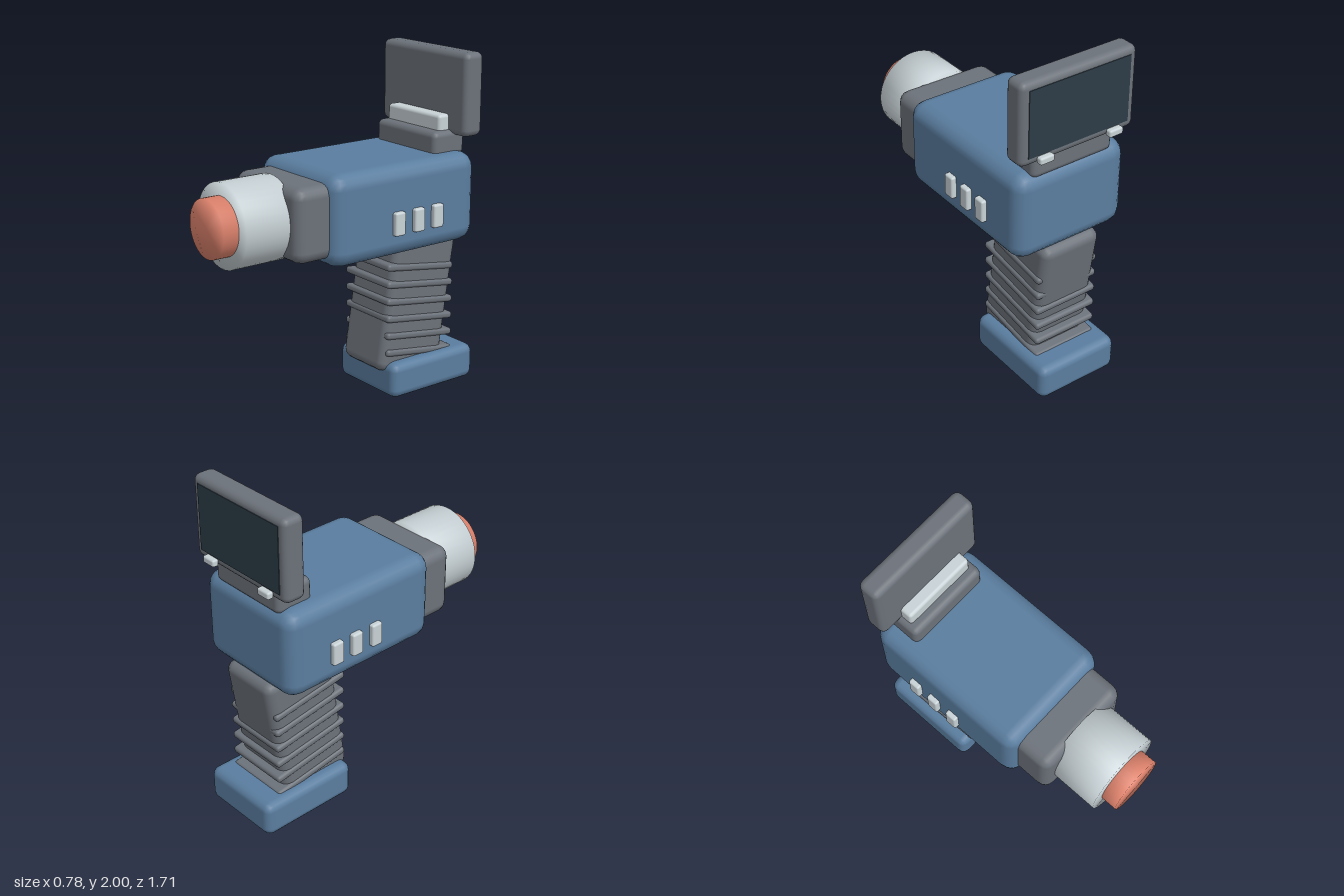
import * as THREE from 'three';
import { RoundedBoxGeometry } from 'three/addons/geometries/RoundedBoxGeometry.js';
import { mergeVertices } from 'three/addons/utils/BufferGeometryUtils.js';

function material(name, color) {
  const m = new THREE.MeshStandardMaterial({ color });
  m.name = name;
  return m;
}

export function createModel() {
  const blue = material('blue shell', 0x5a7d9f);
  const grey = material('dark grey', 0x6c727a);
  const light = material('light grey', 0xc8d2d6);
  const coral = material('coral', 0xe0846e);
  const glass = material('dark glass', 0x2c3c46);

  const model = new THREE.Group();
  model.name = 'handheldScanner';

  function add(name, geometry, mat, x, y, z) {
    const mesh = new THREE.Mesh(geometry, mat);
    mesh.name = name;
    mesh.position.set(x, y, z);
    model.add(mesh);
    return mesh;
  }

  // Rounded box given by half width, y range and z range
  function block(name, mat, halfX, y0, y1, z0, z1, r) {
    const geo = new RoundedBoxGeometry(halfX * 2, y1 - y0, z1 - z0, 2, r);
    return add(name, geo, mat, 0, (y0 + y1) / 2, (z0 + z1) / 2);
  }

  // Cylinder along z, with normals blended softly over the rim
  function softCylinder(name, mat, r, y, z0, z1) {
    let geo = new THREE.CylinderGeometry(r, r, z1 - z0, 40).rotateX(Math.PI / 2);
    geo.deleteAttribute('normal');
    geo.deleteAttribute('uv');
    geo = mergeVertices(geo, 1e-4);
    geo.computeVertexNormals();
    return add(name, geo, mat, 0, y, (z0 + z1) / 2);
  }

  // Main housing and front end
  block('body', blue, 0.36, 0.91, 1.432, -0.745, 0.285, 0.09);
  block('nose', grey, 0.305, 0.962, 1.382, 0.2, 0.485, 0.065);
  softCylinder('barrel', light, 0.24, 1.172, 0.445, 0.76);
  softCylinder('lens', coral, 0.167, 1.172, 0.7, 0.855);

  // Side buttons
  for (const side of [-1, 1]) {
    for (const z of [-0.155, -0.295, -0.432]) {
      add('sideButton', new RoundedBoxGeometry(0.05, 0.135, 0.072, 2, 0.012), light, side * 0.365, 1.11, z);
    }
  }

  // Raked grip with ribs, standing on the base
  const rake = -0.15;
  const grip = add('grip', new RoundedBoxGeometry(0.38, 0.85, 0.462, 2, 0.055), grey, 0, 0.542, -0.475);
  grip.rotation.x = rake;
  for (let i = 0; i < 6; i++) {
    const rib = add('gripRib', new RoundedBoxGeometry(0.405, 0.042, 0.5, 2, 0.018), grey, 0, 0.755 - i * 0.104, -0.472);
    rib.rotation.x = rake;
  }
  block('base', blue, 0.26, 0, 0.212, -0.85, -0.225, 0.05);

  // Display on its mount
  block('displayMount', grey, 0.26, 1.4, 1.552, -0.73, -0.5, 0.035);
  block('hingeBar', light, 0.228, 1.5, 1.64, -0.66, -0.56, 0.02);
  block('displayFrame', grey, 0.368, 1.522, 2.0, -0.765, -0.63, 0.038);
  add('displayGlass', new THREE.BoxGeometry(0.64, 0.385, 0.008), glass, 0, 1.765, -0.765);
  for (const side of [-1, 1]) {
    add('displayKey', new RoundedBoxGeometry(0.09, 0.042, 0.04, 2, 0.012), light, side * 0.223, 1.55, -0.782);
  }

  return model;
}
